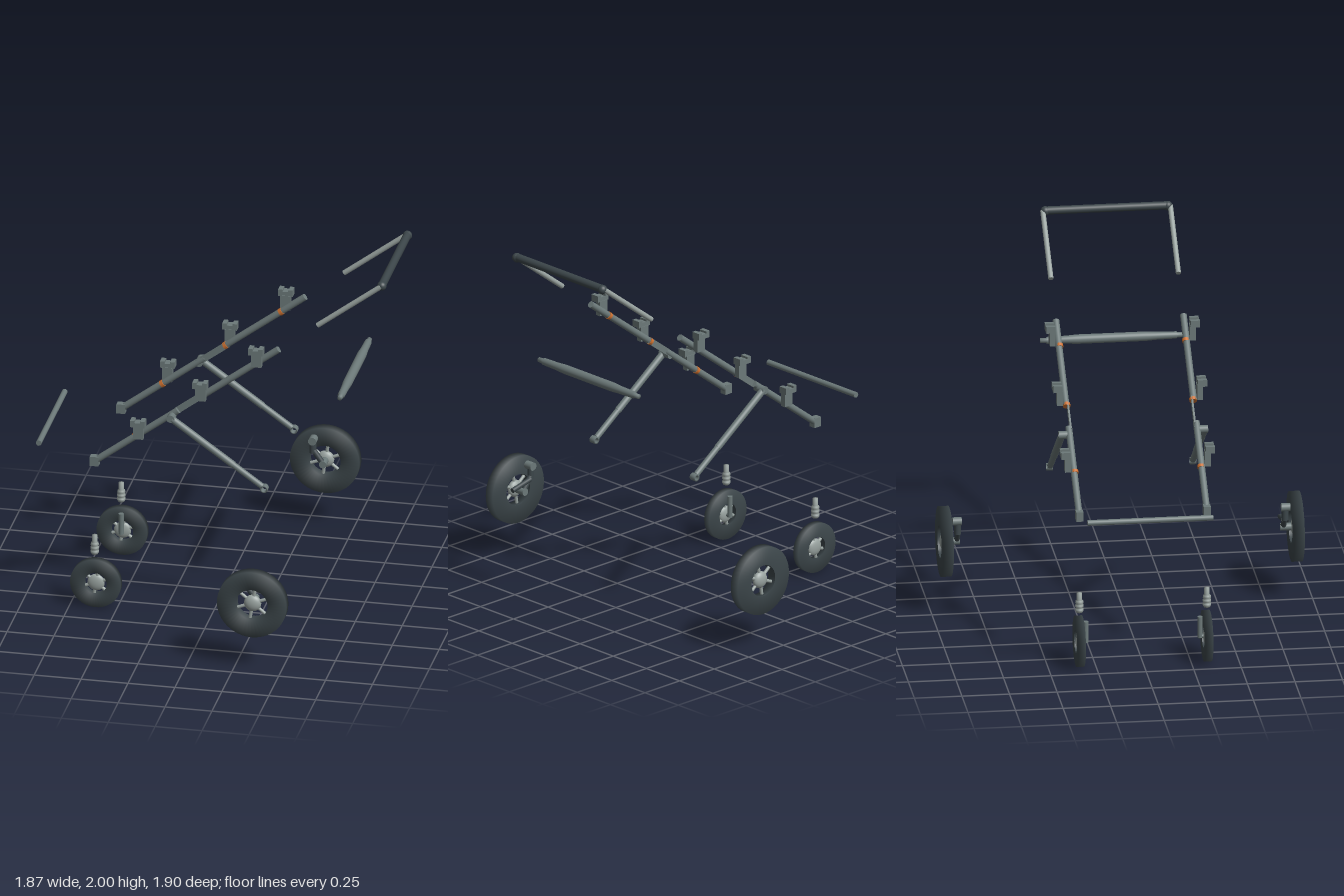
import * as THREE from 'three';

const mat = (name, color) => {
  const m = new THREE.MeshStandardMaterial({ color });
  m.name = name;
  return m;
};

export function createModel() {
  const root = new THREE.Group();
  root.name = 'strollerFrame';
  const frame = mat('frameGrey', 0x6c7979);
  const light = mat('lightMetal', 0x98a29f);
  const dark = mat('rubber', 0x3c464a);
  const orange = mat('orangeAccent', 0xcc7030);
  const V = (x, y, z) => new THREE.Vector3(x, y, z);

  const add = (parent, name, geo, material, x = 0, y = 0, z = 0) => {
    const m = new THREE.Mesh(geo, material);
    m.name = name;
    m.position.set(x, y, z);
    parent.add(m);
    return m;
  };
  const box = (p, name, w, h, d, x, y, z) =>
    add(p, name, new THREE.BoxGeometry(w, h, d), frame, x, y, z);
  // Round rod between two points
  const rod = (p, name, a, b, r, material = frame) => {
    const dir = b.clone().sub(a);
    const m = add(p, name, new THREE.CylinderGeometry(r, r, dir.length(), 20), material);
    m.position.copy(a).lerp(b, 0.5);
    m.quaternion.setFromUnitVectors(V(0, 1, 0), dir.normalize());
    return m;
  };
  // Flat-sided ring with its axis on z
  const ring = (p, name, inner, outer, depth, material, x = 0, y = 0, z = 0) => {
    const h = depth / 2;
    const profile = [[inner, -h], [outer, -h], [outer, h], [inner, h], [inner, -h]]
      .map(([a, b]) => new THREE.Vector2(a, b));
    add(p, name, new THREE.LatheGeometry(profile, 48), material, x, y, z).rotation.x = Math.PI / 2;
  };
  // Point on the sloping main rail
  const slope = 0.747;
  const rail = (x, z) => V(x, 1.565 + (x - 0.36) * slope, z);

  // Wheel with its axis on z
  const wheel = (name, R, hole, t, x, y, z) => {
    const g = new THREE.Group();
    g.name = name;
    g.position.set(x, y, z);
    ring(g, 'tyre', hole, R, t, dark);
    add(g, 'hub', new THREE.SphereGeometry(0.046, 24, 16), light).scale.z = t / 2 / 0.046;
    for (let i = 0; i < 6; i++) {
      const a = (i + 0.35) * Math.PI / 3;
      const c = Math.cos(a), s = Math.sin(a);
      rod(g, 'spoke', V(c * 0.03, s * 0.03, 0), V(c * (hole + 0.005), s * (hole + 0.005), 0), 0.009, light);
    }
    root.add(g);
  };

  for (const s of [1, -1]) {
    const z = s * 0.335;
    const side = new THREE.Group();
    side.name = s > 0 ? 'leftSide' : 'rightSide';
    root.add(side);

    // Main rail in two lengths, joined by a thin hinge plate
    rod(side, 'lowerRail', rail(-0.62, z), rail(-0.175, z), 0.018);
    rod(side, 'upperRail', rail(-0.065, z), rail(0.36, z), 0.018);
    const hinge = box(side, 'hingePlate', 0.17, 0.034, 0.01, -0.12, rail(-0.12, z).y, s * 0.326);
    hinge.rotation.z = Math.atan(slope);
    box(side, 'railFoot', 0.046, 0.052, 0.038, -0.62, 0.836, z);

    // Seat brackets, each with an orange collar on the inner side of the rail
    for (const [x, top, collar] of [[-0.38, 1.11, -0.4], [-0.048, 1.36, -0.064], [0.25, 1.582, 0.232]]) {
      const b = new THREE.Group();
      b.name = 'seatBracket';
      b.position.set(x, top, s * 0.38);
      side.add(b);
      box(b, 'bracketTop', 0.078, 0.025, 0.048, 0, -0.022, 0);
      for (const e of [-1, 1]) box(b, 'bracketLip', 0.024, 0.012, 0.048, e * 0.027, -0.004, 0);
      box(b, 'bracketStem', 0.054, 0.08, 0.03, 0, -0.071, -s * 0.012);
      const c = rail(collar, s * 0.332);
      rod(side, 'collar', c.clone().add(V(-0.007, -0.005, 0)), c.clone().add(V(0.007, 0.005, 0)), 0.0197, orange);
    }

    // Rear leg with pivot, slimmer end tube and end eye
    const a = V(-0.2, 1.13, s * 0.375), e = V(0.28, 0.79, s * 0.375);
    rod(side, 'rearLeg', a, a.clone().lerp(e, 0.68), 0.019);
    rod(side, 'rearLegEnd', a.clone().lerp(e, 0.67), e, 0.0165);
    ring(side, 'legEndEye', 0.013, 0.02, 0.034, frame, 0.293, 0.78, s * 0.377);
    rod(side, 'legPivot', V(-0.205, 1.135, s * 0.322), V(-0.205, 1.135, s * 0.392), 0.021);

    // Front wheel, side arm and steering stem
    wheel('frontWheel', 0.135, 0.06, 0.038, -0.613, 0.137, z);
    rod(side, 'frontWheelArm', V(-0.613, 0.13, s * 0.3), V(-0.613, 0.245, s * 0.3), 0.014);
    rod(side, 'frontAxle', V(-0.613, 0.137, s * 0.292), V(-0.613, 0.137, s * 0.335), 0.012);
    const stem = [[0, 0.3], [0.016, 0.3], [0.022, 0.31], [0.022, 0.32], [0.015, 0.325], [0.022, 0.33],
      [0.022, 0.342], [0.015, 0.347], [0.022, 0.352], [0.02, 0.365], [0.014, 0.37], [0.014, 0.408], [0, 0.41]];
    add(side, 'steeringStem', new THREE.LatheGeometry(stem.map(p => new THREE.Vector2(...p)), 20), light, -0.62, 0, z);

    // Rear wheel with brake linkage on its inner face
    wheel('rearWheel', 0.185, 0.085, 0.053, 0.345, 0.372, s * 0.922);
    const brake = new THREE.Group();
    brake.name = 'brake';
    side.add(brake);
    rod(brake, 'brakeAxle', V(0.345, 0.372, s * 0.842), V(0.345, 0.372, s * 0.9), 0.02);
    rod(brake, 'brakeArm', V(0.345, 0.372, s * 0.858), V(0.29, 0.45, s * 0.858), 0.015, dark);
    rod(brake, 'brakeUpright', V(0.29, 0.43, s * 0.86), V(0.29, 0.5, s * 0.86), 0.018, dark);
    rod(brake, 'brakeCylinder', V(0.29, 0.5, s * 0.84), V(0.29, 0.5, s * 0.887), 0.022);
    if (s > 0) rod(brake, 'brakeLever', V(0.3, 0.43, 0.852), V(0.43, 0.4, 0.852), 0.013, dark);

    // Handle arm
    rod(side, 'handleArm', V(0.567, 1.722, z), V(0.905, 1.976, z), 0.014, light);
    add(side, 'handleCap', new THREE.SphereGeometry(0.025, 20, 14), dark, 0.907, 1.975, s * 0.322);
  }

  // Cross bars
  rod(root, 'handleGrip', V(0.907, 1.977, -0.33), V(0.907, 1.977, 0.33), 0.0215, dark);
  rod(root, 'frontCrossBar', V(-0.92, 0.903, -0.33), V(-0.92, 0.903, 0.33), 0.015);
  const taper = [[0, -0.376], [0.013, -0.376], [0.014, -0.345], [0.019, -0.34], [0.021, -0.24], [0.025, -0.18],
    [0.025, 0.18], [0.021, 0.24], [0.019, 0.34], [0.014, 0.345], [0.013, 0.376], [0, 0.376]];
  add(root, 'bumperBar', new THREE.LatheGeometry(taper.map(p => new THREE.Vector2(...p)), 24), frame, 0.694, 1.334, 0)
    .rotation.x = Math.PI / 2;

  return root;
}
